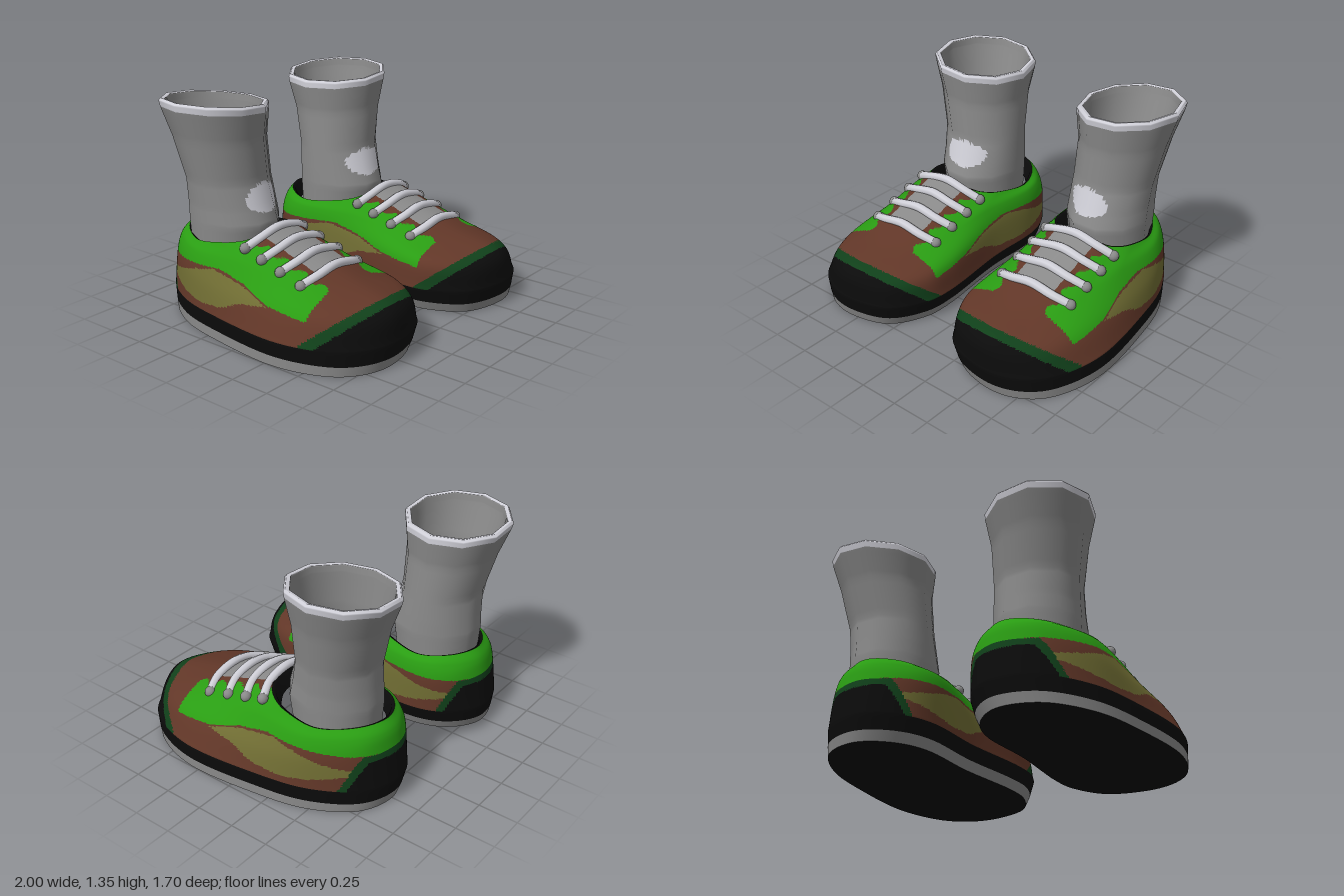
import * as THREE from 'three';

const mat = (name, color) => Object.assign(new THREE.MeshStandardMaterial({ color }), { name });
const V = (x, y, z) => new THREE.Vector3(x, y, z);

// Horizontal rings of one shoe, from the toe round the outer side, heel and inner side
const OUTLINE = [[.55, .85], [.77, .79], [.92, .62], [1, .3], [.96, -.15], [.88, -.5], [.7, -.77],
  [.45, -.85], [.25, -.73], [.15, -.5], [.15, -.1], [.11, .35], [.14, .58], [.28, .78]];
const SHOULDER = [[.55, .33, .8], [.74, .31, .72], [.87, .3, .55], [.92, .31, .28], [.92, .31, -.13],
  [.87, .34, -.48], [.7, .37, -.74], [.46, .38, -.82], [.25, .37, -.72], [.15, .36, -.5],
  [.17, .36, -.1], [.14, .32, .33], [.17, .31, .55], [.31, .31, .73]];
const INSTEP = [[.53, .42, .5], [.66, .415, .46], [.76, .4, .4], [.8, .43, .2], [.84, .46, -.1],
  [.84, .46, -.45], [.68, .47, -.72], [.46, .47, -.8], [.27, .47, -.7], [.17, .47, -.48],
  [.21, .47, -.1], [.24, .43, .2], [.29, .4, .4], [.4, .415, .46]];
const COLLAR = [[.52, .61, -.06], [.6, .605, -.06], [.67, .59, -.08], [.74, .56, -.14], [.79, .535, -.27],
  [.78, .505, -.48], [.65, .52, -.68], [.47, .53, -.76], [.3, .52, -.67], [.21, .505, -.48],
  [.24, .535, -.25], [.3, .56, -.14], [.37, .59, -.08], [.44, .605, -.06]];

// Piecewise-linear curve through [x, value] pairs
function graph(pts, x) {
  if (x <= pts[0][0]) return pts[0][1];
  for (let i = 1; i < pts.length; i++) {
    const [x0, y0] = pts[i - 1], [x1, y1] = pts[i];
    if (x <= x1) return y0 + (y1 - y0) * (x - x0) / (x1 - x0);
  }
  return pts[pts.length - 1][1];
}

// Closed smooth ring sampled at n points
function ring(points, n) {
  const curve = new THREE.CatmullRomCurve3(points.map(p => V(...p)), true, 'catmullrom', 0.5);
  return Array.from({ length: n }, (_, i) => curve.getPoint(i / n));
}

// Skin over stacked rings; pick(x, y, z, row) gives the material index of each triangle
function skin(rows, side, pick, count) {
  const n = rows[0].length, pos = [], lists = Array.from({ length: count }, () => []);
  rows.forEach(r => r.forEach(p => pos.push(side * p.x, p.y, p.z)));
  const at = i => rows[Math.floor(i / n)][i % n];
  for (let r = 0; r < rows.length - 1; r++) for (let c = 0; c < n; c++) {
    const a = r * n + c, b = r * n + (c + 1) % n, d = a + n, e = b + n;
    for (const t of [[a, b, e], [a, e, d]]) {
      const m = t.reduce((s, i) => s.add(at(i)), V(0, 0, 0)).divideScalar(3);
      lists[pick(m.x, m.y, m.z, r)].push(...(side > 0 ? t : [t[0], t[2], t[1]]));
    }
  }
  const g = new THREE.BufferGeometry();
  g.setAttribute('position', new THREE.Float32BufferAttribute(pos, 3));
  g.setIndex(lists.flat());
  let start = 0;
  lists.forEach((l, i) => { if (l.length) g.addGroup(start, l.length, i); start += l.length; });
  g.computeVertexNormals();
  return g;
}

// Colour areas of the upper: 0 black, 1 dark green, 2 brown, 3 green, 4 olive, 5 grey
const GREEN_EDGE = [[-.8, .37], [-.65, .38], [-.47, .395], [-.2, .41], [0, .37], [.2, .31], [.46, .28]];
const OLIVE_TOP = [[-.69, .29], [-.52, .33], [-.4, .37], [-.25, .4], [0, .36], [.2, .3]];
const OLIVE_LOW = [[-.69, .25], [-.5, .21], [-.33, .19], [-.13, .21], [0, .27], [.2, .3]];
function upperColour(x, y, z) {
  if (y < .152 || z > .383 + 1.17 * y) return 0;
  if (z > .275 + 1.24 * y) return 1;
  if (y < .33 && z < -.62 - .46 * y) return 0;
  if (y < .37 && z < -.58 - .45 * y) return 1;
  const off = Math.abs(x - .52);
  if (z > -.16 && off < .19 + .02 * Math.cos((z + .05) * 45)) {
    return off < .14 && z > -.06 && z < .37 ? 5 : 2;
  }
  if (z < .48 && y > graph(GREEN_EDGE, z)) return 3;
  if (z > -.72 && z < .2 && y < graph(OLIVE_TOP, z) && y > graph(OLIVE_LOW, z)) return 4;
  return 2;
}

// Sock levels: y, x range, z range; up the outside, over the rim, down the inside
const SOCK = [[.42, .265, .765, -.7, -.16], [.6, .255, .775, -.715, -.13], [.7, .257, .775, -.71, -.16],
  [.85, .262, .785, -.705, -.2], [1.1, .272, .835, -.77, -.2], [1.27, .25, .885, -.835, -.175],
  [1.305, .25, .89, -.845, -.17], [1.32, .262, .878, -.832, -.182], [1.315, .285, .855, -.81, -.205],
  [1.27, .29, .85, -.8, -.21], [1.05, .3, .8, -.74, -.225], [.62, .29, .74, -.68, -.2],
  [.6, .515, .515, -.44, -.44]];
const STEPS = 6;
function sockRows(polygonal) {
  const rows = [];
  for (let k = 0; k < SOCK.length - 1; k++) for (let s = k ? 1 : 0; s <= STEPS; s++) {
    const [y, x0, x1, z0, z1] = SOCK[k].map((v, i) => v + (SOCK[k + 1][i] - v) * s / STEPS);
    rows.push(Array.from({ length: 80 }, (_, i) => {
      const a = i / 80 * Math.PI * 2, seg = Math.PI / 5;
      const f = polygonal ? Math.cos(seg / 2) / Math.cos(a - seg * Math.round(a / seg)) : 1;
      const x = (x0 + x1) / 2 + (x1 - x0) / 2 * f * Math.sin(a);
      const z = (z0 + z1) / 2 + (z1 - z0) / 2 * f * Math.cos(a);
      return V(x, y + (x - .57) * .08 * Math.max(0, (y - .6) / .7), z);
    }));
  }
  return rows;
}

export function createModel() {
  const black = mat('black rubber', 0x0b0b0b), darkGreen = mat('dark green trim', 0x10401a);
  const brown = mat('brown leather', 0x623728), green = mat('green panel', 0x2a9d13);
  const olive = mat('olive panel', 0x706d33), grey = mat('grey knit', 0x8a8a8a);
  const white = mat('pale lace', 0xd0d0d8);
  const model = new THREE.Group();
  model.name = 'sneakersWithSocks';

  const N = 240;
  const level = (y, sx, sz) => ring(OUTLINE.map(([x, z]) => [.95 + (x - .95) * sx, y, z * sz]), N);
  const base = level(0, .94, .96), soleTop = level(.06, .97, .98), widest = level(.15, 1, 1);
  const shoulder = ring(SHOULDER, N), instep = ring(INSTEP, N), collar = ring(COLLAR, N);

  // Upper: straight rubber band, then a smooth curve up to the collar
  const upperRows = [0, 1, 2, 3].map(s => soleTop.map((p, i) => p.clone().lerp(widest[i], s / 4)));
  const profiles = widest.map((p, i) =>
    new THREE.CatmullRomCurve3([p, shoulder[i], instep[i], collar[i]], false, 'catmullrom', 0.5));
  for (let s = 0; s <= 63; s++) upperRows.push(profiles.map(c => c.getPoint(s / 63)));

  const inner = (k, drop) => collar.map(p => V(.51 + (p.x - .51) * k, p.y - drop, -.42 + (p.z + .42) * k));
  const round = sockRows(false), faceted = sockRows(true);
  const sockColour = (x, y, z, row) => {
    if (row >= 5 * STEPS && row < 8 * STEPS) return 1;
    const patch = ((x - .49) / .15) ** 2 + ((y - .755) / .085) ** 2 < 1;
    return patch && z > -.3 && row < 5 * STEPS ? 1 : 0;
  };

  for (const side of [1, -1]) {
    const shoe = new THREE.Group();
    shoe.name = side > 0 ? 'leftShoe' : 'rightShoe';
    const add = (name, geometry, material) => {
      const m = new THREE.Mesh(geometry, material);
      m.name = name;
      shoe.add(m);
      return m;
    };
    const plain = rows => skin(rows, side, () => 0, 1);
    add('soleBottom', plain([base.map(() => V(.55, 0, 0)), base]), black);
    add('soleEdge', plain([base, soleTop]), grey);
    add('upper', skin(upperRows, side, upperColour, 6), [black, darkGreen, brown, green, olive, grey]);
    add('collarLining', plain([collar, inner(.94, .01), inner(.86, .1)]), black);

    // Sock: ten-sided outline with smooth shading
    const sock = skin(round, side, sockColour, 2);
    sock.setAttribute('position', skin(faceted, side, sockColour, 2).getAttribute('position'));
    add('sock', sock, [grey, white]);

    // Laces across the tongue, with an eyelet at each end
    for (const z of [-.05, .08, .22, .37]) {
      const top = .605 - .33 * (z + .06), end = .52 - .3 * z, mid = top * .72 + end * .28;
      const path = [[.27, end, z - .04], [.37, mid, z - .005], [.52, top + .012, z],
        [.67, mid, z - .005], [.775, end, z - .04]].map(([x, y, w]) => V(side * x, y, w));
      add('lace', new THREE.TubeGeometry(new THREE.CatmullRomCurve3(path), 24, .028, 8), white);
      for (const p of [path[0], path[4]]) {
        const eyelet = add('eyelet', new THREE.SphereGeometry(.034, 12, 8), grey);
        eyelet.position.copy(p);
      }
    }
    model.add(shoe);
  }
  return model;
}
